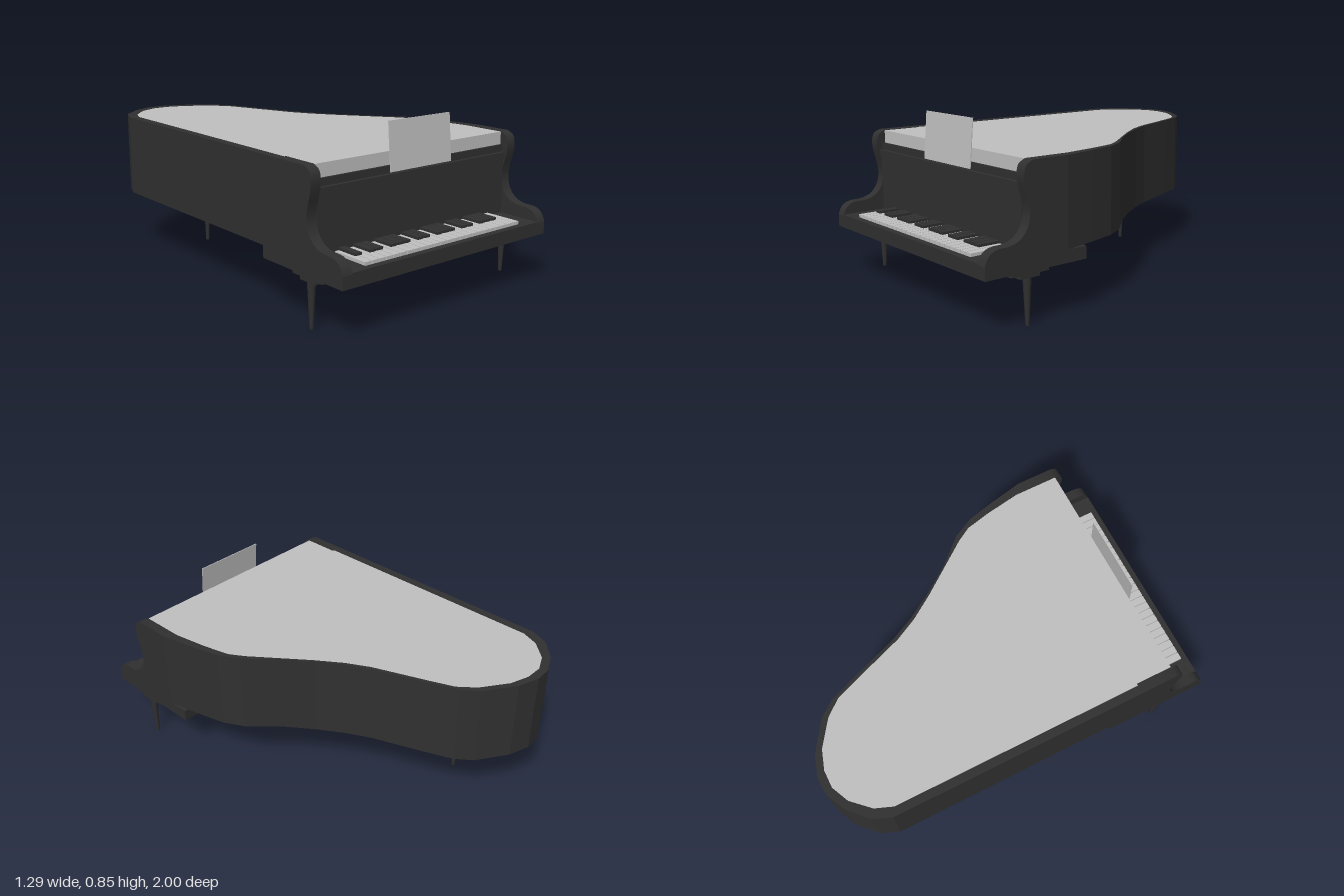
import * as THREE from 'three';
import { toCreasedNormals } from 'three/addons/utils/BufferGeometryUtils.js';

export function createModel() {
  const piano = new THREE.Group();
  piano.name = 'grandPiano';
  const ebony = new THREE.MeshStandardMaterial({ color: 0x303030 });
  ebony.name = 'ebony black';
  const pale = new THREE.MeshStandardMaterial({ color: 0xc0c0c0 });
  pale.name = 'pale grey';

  const add = (name, geometry, material, parent = piano) => {
    const mesh = new THREE.Mesh(geometry, material);
    mesh.name = name;
    parent.add(mesh);
    return mesh;
  };
  // Box given by its limits on each axis
  const box = (name, [x0, x1], [y0, y1], [z0, z1], material, parent) => {
    const mesh = add(name, new THREE.BoxGeometry(x1 - x0, y1 - y0, z1 - z0), material, parent);
    mesh.position.set((x0 + x1) / 2, (y0 + y1) / 2, (z0 + z1) / 2);
    return mesh;
  };
  // Upright slab from a plan of [x, z] points
  const slab = (name, plan, y0, y1, material) => {
    const shape = new THREE.Shape(plan.map(([x, z]) => new THREE.Vector2(x, -z)));
    const geometry = new THREE.ExtrudeGeometry(shape, { depth: y1 - y0, bevelEnabled: false });
    geometry.rotateX(-Math.PI / 2).translate(0, y0, 0);
    return add(name, geometry, material);
  };

  // Curved case: outer and inner plan, from the left front round to the right front
  const outer = [
    [-0.643, 0.56], [-0.643, -0.76], [-0.605, -0.855], [-0.51, -0.945], [-0.41, -0.995],
    [-0.32, -1], [-0.21, -0.965], [-0.06, -0.865], [0, -0.785], [0.05, -0.66], [0.15, -0.39],
    [0.21, -0.27], [0.29, -0.14], [0.39, 0], [0.515, 0.135], [0.57, 0.24], [0.605, 0.38], [0.643, 0.56],
  ];
  const inner = [
    [-0.6, 0.56], [-0.6, -0.735], [-0.565, -0.825], [-0.48, -0.915], [-0.39, -0.957],
    [-0.3, -0.957], [-0.2, -0.925], [-0.07, -0.835], [-0.005, -0.755], [0.04, -0.64], [0.14, -0.37],
    [0.2, -0.255], [0.285, -0.13], [0.383, 0], [0.485, 0.135], [0.53, 0.21], [0.56, 0.34], [0.59, 0.52],
    [0.59, 0.56],
  ];
  const filled = [[-0.59, 0.75], [-0.59, 0.56], ...inner, [0.59, 0.75]];
  slab('rim', [...outer, ...[...inner].reverse()], 0.305, 0.72, ebony);
  slab('caseBody', filled, 0.305, 0.655, ebony);
  slab('lid', filled, 0.655, 0.718, pale);

  // Scrolled cheeks at both ends of the keyboard
  const cheek = new THREE.Shape();
  cheek.moveTo(0.56, 0.305);
  cheek.lineTo(1, 0.305);
  cheek.splineThru([
    [0.988, 0.335], [0.965, 0.358], [0.93, 0.369], [0.87, 0.372], [0.82, 0.39], [0.783, 0.43],
    [0.767, 0.485], [0.772, 0.54], [0.79, 0.61], [0.796, 0.66], [0.785, 0.7], [0.75, 0.72],
  ].map((p) => new THREE.Vector2(...p)));
  cheek.lineTo(0.56, 0.72);
  const cheekGeometry = toCreasedNormals(
    new THREE.ExtrudeGeometry(cheek, { depth: 0.053, bevelEnabled: false, curveSegments: 3 })
      .rotateY(-Math.PI / 2), 0.6);
  add('leftCheek', cheekGeometry, ebony).position.x = 0.643;
  add('rightCheek', cheekGeometry, ebony).position.x = -0.59;

  // Keybed, key slip, end blocks and fallboard
  box('keybed', [-0.643, 0.643], [0.245, 0.305], [0.455, 1], ebony);
  box('keySlip', [-0.59, 0.59], [0.305, 0.311], [0.966, 1], ebony);
  for (const s of [-1, 1]) {
    box('keyBlock', [s * 0.54 - 0.05, s * 0.54 + 0.05], [0.305, 0.311], [0.77, 0.966], ebony);
  }
  box('fallboard', [-0.59, 0.59], [0.305, 0.583], [0.74, 0.772], ebony);
  box('fallboardRail', [-0.59, 0.59], [0.583, 0.62], [0.74, 0.78], ebony);
  box('lidLedge', [-0.59, 0.59], [0.62, 0.655], [0.74, 0.762], ebony);

  // Keyboard: 24 white keys, black keys in twos and threes
  const keyboard = new THREE.Group();
  keyboard.name = 'keyboard';
  piano.add(keyboard);
  const count = 24, left = -0.493, pitch = 0.986 / count;
  for (let i = 0; i < count; i++) {
    const x = left + i * pitch;
    box('whiteKey', [x + 0.002, x + pitch - 0.002], [0.305, 0.326], [0.77, 0.964], pale, keyboard);
    if (i > 0 && ![2, 5].includes(i % 7)) {
      box('blackKey', [x - 0.018, x + 0.018], [0.31, 0.338], [0.77, 0.88], ebony, keyboard);
    }
  }

  // Music stand, leaning slightly back
  const stand = box('musicStand', [-0.173, 0.214], [0.625, 0.855], [0.759, 0.763], pale);
  stand.rotation.x = -0.085;

  // Tapered legs with stepped mounting plates
  const addLeg = (name, x, z, top) => {
    const leg = new THREE.Group();
    leg.name = name;
    leg.position.set(x, 0, z);
    piano.add(leg);
    box('mountingPlate', [-0.024, 0.024], [top - 0.014, top], [-0.1, 0.1], ebony, leg);
    box('mountingBlock', [-0.022, 0.022], [top - 0.03, top - 0.014], [-0.052, 0.052], ebony, leg);
    const height = top - 0.03;
    add('taperedPost', new THREE.CylinderGeometry(0.02, 0.009, height, 12), ebony, leg)
      .position.y = height / 2;
  };
  addLeg('leftFrontLeg', 0.615, 0.765, 0.246);
  addLeg('rightFrontLeg', -0.615, 0.765, 0.246);
  addLeg('backLeg', -0.266, -0.613, 0.306);

  return piano;
}
